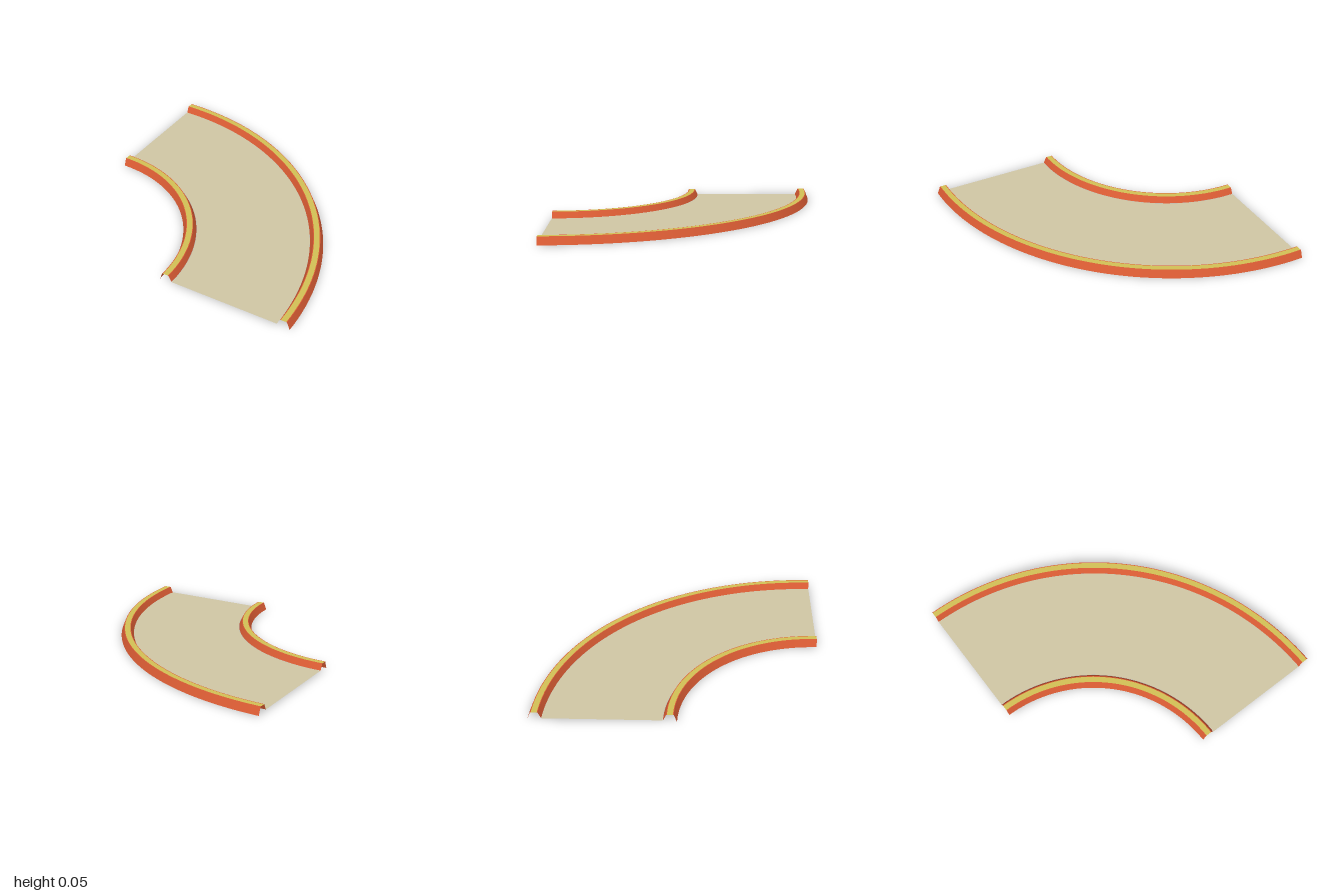
import * as THREE from 'three';

const material = (name, color) =>
  new THREE.MeshStandardMaterial({ name, color, side: THREE.DoubleSide });

export function createModel() {
  const group = new THREE.Group();
  group.name = 'curvedTrackSection';
  const sand = material('sand', 0xd0c6a4);
  const red = material('curbRed', 0xdb5c34);
  const yellow = material('stripeYellow', 0xd2c055);
  const floorY = 0.01, topY = 0.055;

  // Quarter-turn band swept about the corner; each profile edge stays sharp
  function band(name, mat, from, to, parent) {
    const points = [from, to].map(([r, y]) => new THREE.Vector2(r, y));
    const mesh = new THREE.Mesh(new THREE.LatheGeometry(points, 48, Math.PI / 2, Math.PI / 2), mat);
    mesh.name = name;
    parent.add(mesh);
  }

  // Hollow curb: sloping walls, red rims and a yellow stripe on top
  function curb(name, r, innerBase, outerBase) {
    const part = new THREE.Group();
    part.name = name;
    band('outerWall', red, [r + 0.097, outerBase], [r + 0.075, topY], part);
    band('outerRim', red, [r + 0.075, topY], [r + 0.07, topY], part);
    band('topStripe', yellow, [r + 0.07, topY], [r + 0.03, topY], part);
    band('innerRim', red, [r + 0.03, topY], [r + 0.025, topY], part);
    band('innerWall', red, [r + 0.025, topY], [r + 0.003, innerBase], part);
    group.add(part);
    return part;
  }

  // Road surface between the two curbs
  band('roadSurface', sand, [1.905, floorY], [1.097, floorY], group);
  curb('innerCurb', 0.997, 0, floorY);
  curb('outerCurb', 1.903, floorY, 0);

  // Turn centre sits at the front right-hand corner
  for (const child of group.children) child.position.set(-1, 0, 1);
  return group;
}
